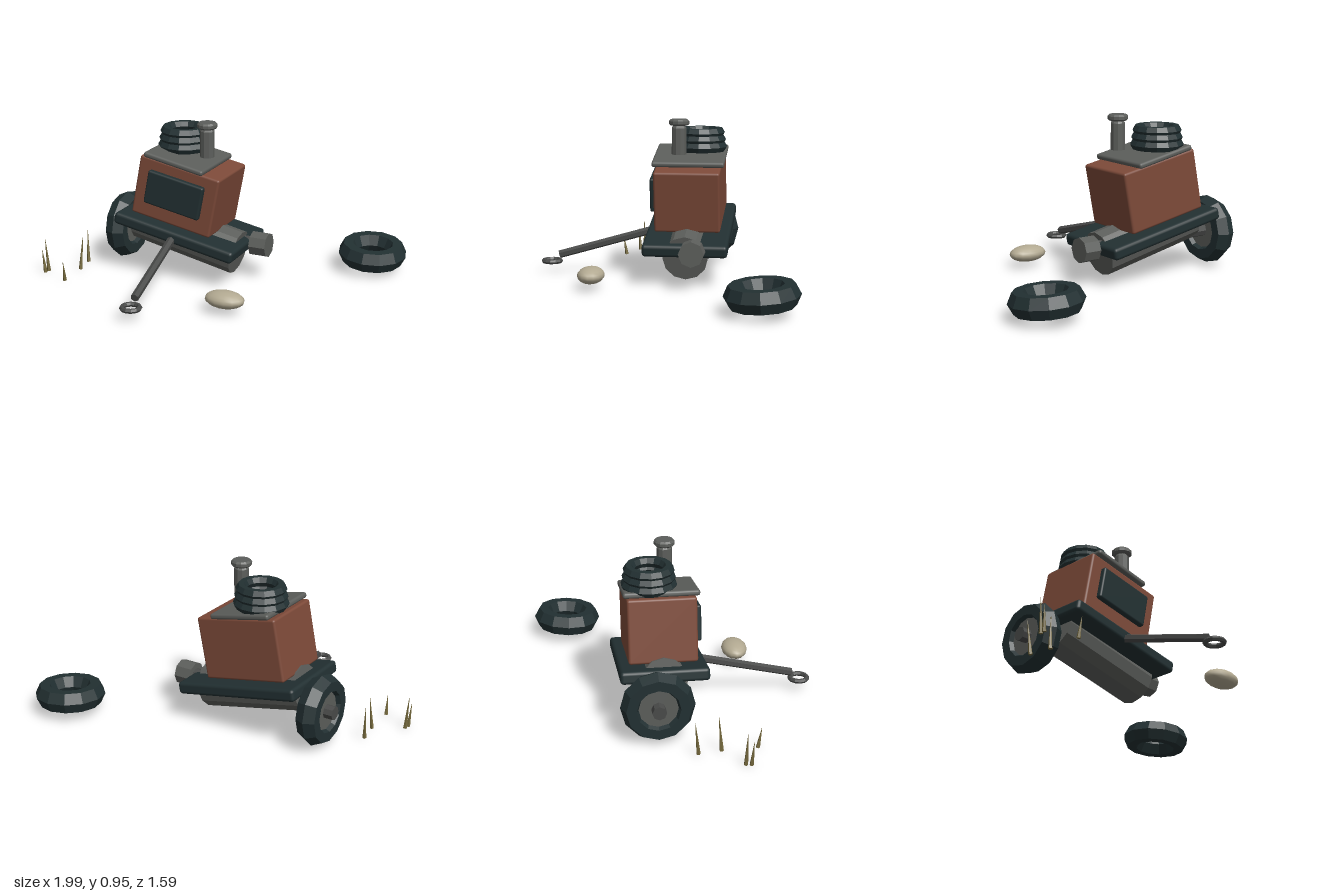
import * as THREE from 'three';
import { RoundedBoxGeometry } from 'three/addons/geometries/RoundedBoxGeometry.js';

const paint = (name, color) => {
  const m = new THREE.MeshStandardMaterial({ color });
  m.name = name;
  return m;
};

// Faceted normals for the low-poly parts
function facet(geometry) {
  const g = geometry.index ? geometry.toNonIndexed() : geometry;
  g.computeVertexNormals();
  return g;
}

export function createModel() {
  const model = new THREE.Group();
  model.name = 'abandonedCompressorTrailer';

  const dark = paint('darkRubber', 0x223032);
  const rust = paint('rustPaint', 0x7d4a39);
  const steel = paint('greySteel', 0x5c5e5b);
  const iron = paint('darkIron', 0x4a4b4a);
  const stone = paint('paleStone', 0xb3aa92);
  const straw = paint('dryGrass', 0x766a3e);

  function add(name, geometry, material, pos, rot = [0, 0, 0]) {
    const mesh = new THREE.Mesh(geometry, material);
    mesh.name = name;
    mesh.position.set(...pos);
    mesh.rotation.set(...rot);
    model.add(mesh);
    return mesh;
  }
  const box = (w, h, d, r) => new RoundedBoxGeometry(w, h, d, 2, r);
  const rod = (r, length, sides) => facet(new THREE.CylinderGeometry(r, r, length, sides));

  // Cylinder-like part stretched between two points
  function bar(name, a, b, rBottom, rTop, sides, material) {
    const from = new THREE.Vector3(...a), to = new THREE.Vector3(...b);
    const dir = to.clone().sub(from);
    const geometry = facet(new THREE.CylinderGeometry(rTop, rBottom, dir.length(), sides));
    const mesh = add(name, geometry, material, from.add(to).multiplyScalar(0.5).toArray());
    mesh.quaternion.setFromUnitVectors(new THREE.Vector3(0, 1, 0), dir.normalize());
    return mesh;
  }

  // Sagging chassis and housing share one tilt
  const tilt = -0.19;
  const midZ = -0.113;
  add('deck', box(0.78, 0.072, 0.495, 0.02), dark, [-0.21, 0.28, midZ], [0, 0, tilt]);
  add('airTank', rod(0.132, 0.66, 12), steel, [-0.212, 0.229, midZ], [0, 0, tilt - 0.02 + Math.PI / 2]);
  add('housing', box(0.517, 0.365, 0.387, 0.014), rust, [-0.214, 0.52, midZ], [0, 0, tilt]);
  add('sidePanel', box(0.36, 0.205, 0.04, 0.012), dark, [-0.211, 0.535, 0.092], [0, 0, tilt]);
  add('lid', box(0.385, 0.033, 0.427, 0.014), steel, [-0.215, 0.722, -0.111], [0, 0, -0.2]);

  // Stacked hose coil
  for (let i = 0; i < 3; i++) {
    const coil = facet(new THREE.TorusGeometry(0.126 - i * 0.007, 0.032, 6, 14));
    add('hoseCoil', coil, dark, [-0.267, 0.773 + i * 0.042, -0.168], [Math.PI / 2, 0, 0]);
  }

  // Exhaust pipe with bevelled cap
  const turned = (points, sides) =>
    facet(new THREE.LatheGeometry(points.map(([x, y]) => new THREE.Vector2(x, y)), sides));
  add('exhaustPipe', turned([[0, 0], [0.043, 0], [0.043, 0.155], [0.034, 0.17], [0, 0.17]], 10),
    steel, [-0.066, 0.745, -0.058]);
  add('exhaustCap', turned([[0, 0], [0.05, 0], [0.06, 0.009], [0.06, 0.026], [0.05, 0.036], [0, 0.036]], 12),
    steel, [-0.066, 0.915, -0.058]);

  // Tyres: hexagonal section, slightly widened
  const tyre = facet(new THREE.TorusGeometry(0.15, 0.057, 6, 12).scale(1, 1, 1.2));
  const axleY = 0.215, axleZ = -0.164;
  const sideways = [0, 0, Math.PI / 2];
  add('mountedTyre', tyre, dark, [-0.66, axleY, axleZ], [0, Math.PI / 2, 0]);
  add('wheelDisc', rod(0.115, 0.07, 12), steel, [-0.66, axleY, axleZ], sideways);
  add('axle', rod(0.04, 0.97, 8), iron, [-0.264, axleY, axleZ], sideways);
  add('bareHub', rod(0.074, 0.103, 8), steel, [0.234, axleY, axleZ], sideways);
  add('looseTyre', tyre, dark, [0.79, 0.11, -0.59], [Math.PI / 2 + 0.06, -0.05, 0]);

  // Drawbar and towing eye
  bar('drawbar', [-0.222, 0.291, 0.04], [-0.163, 0.115, 0.68], 0.024, 0.024, 6, iron);
  add('towingEye', facet(new THREE.TorusGeometry(0.051, 0.014, 6, 12)), iron,
    [-0.163, 0.075, 0.726], [Math.PI / 2, 0, 0]);

  // Stone
  add('stone', new THREE.SphereGeometry(1, 14, 10).scale(0.118, 0.049, 0.078), stone, [0.26, 0.081, 0.412]);

  // Grass blades: x, z, height, lean in x, lean in z
  const blades = [
    [-0.835, 0.035, 0.2, -0.012, -0.02],
    [-0.815, 0.165, 0.2, 0.012, -0.015],
    [-0.805, 0.366, 0.12, 0.003, 0.02],
    [-0.975, 0.27, 0.2, -0.015, 0.006],
    [-0.98, 0.3, 0.145, -0.012, 0.01],
  ];
  for (const [x, z, h, dx, dz] of blades) {
    bar('grassBlade', [x, 0.002, z], [x + dx, h, z + dz], 0.012, 0.001, 5, straw);
  }

  return model;
}
